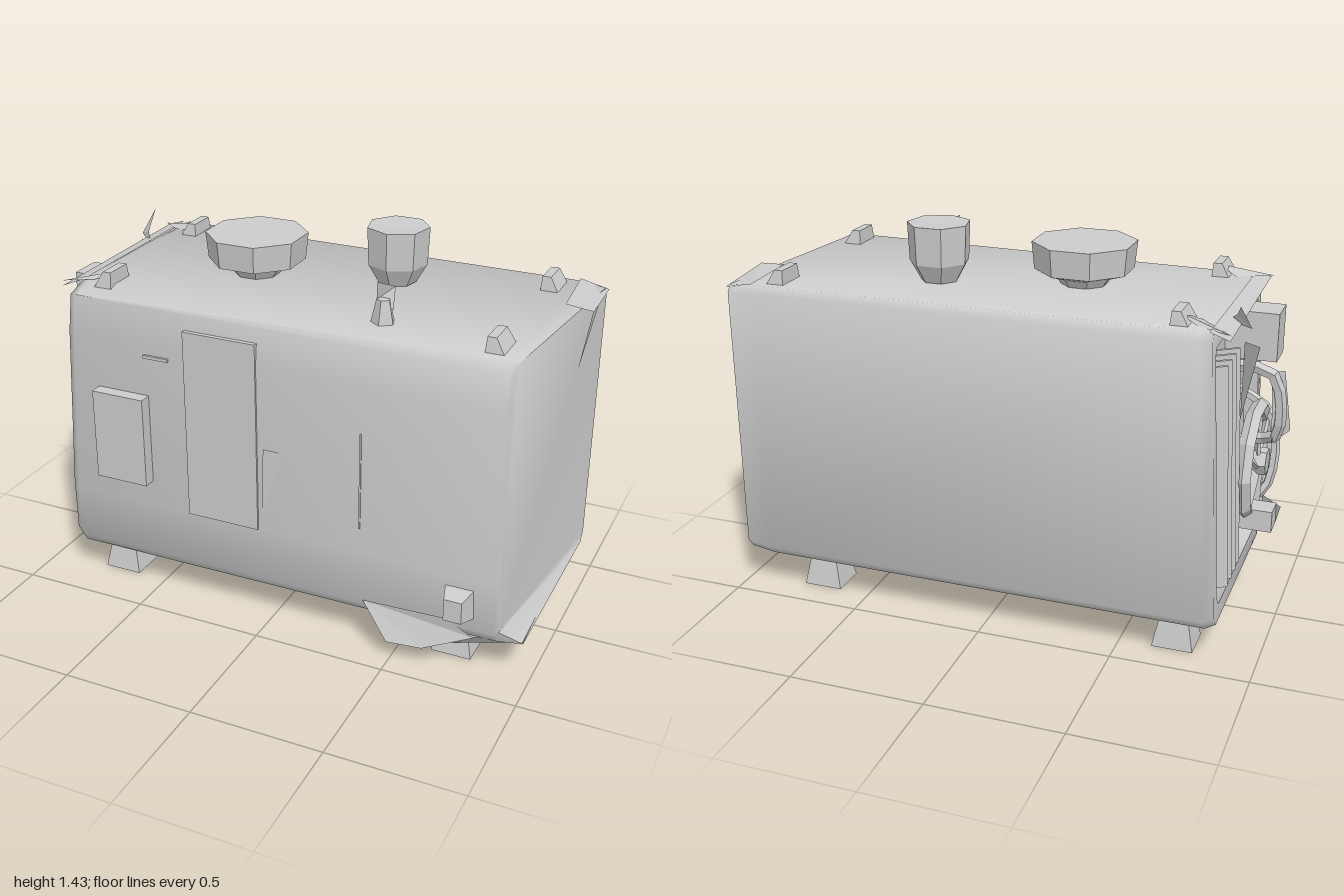
import * as THREE from 'three';
import { toCreasedNormals } from 'three/addons/utils/BufferGeometryUtils.js';

const grey = new THREE.MeshStandardMaterial({ color: 0xcccccc, flatShading: true });
const smooth = new THREE.MeshStandardMaterial({ color: 0xcccccc });
const thin = new THREE.MeshStandardMaterial({ color: 0xcccccc, flatShading: true, side: THREE.DoubleSide });

export function createModel() {
  const root = new THREE.Group();
  const add = (name, geo, x = 0, y = 0, z = 0, mat = grey) => {
    const m = new THREE.Mesh(geo, mat);
    m.name = name;
    m.position.set(x, y, z);
    root.add(m);
    return m;
  };
  const box = (name, x0, x1, y0, y1, z0, z1) =>
    add(name, new THREE.BoxGeometry(x1 - x0, y1 - y0, z1 - z0), (x0 + x1) / 2, (y0 + y1) / 2, (z0 + z1) / 2);
  const indexed = (pos, index) => {
    const g = new THREE.BufferGeometry();
    g.setAttribute('position', new THREE.Float32BufferAttribute(pos, 3));
    g.setIndex(index);
    g.computeVertexNormals();
    return g;
  };
  // thin folded sheet from a fan of corners
  const sheet = (name, pts) => {
    const index = [];
    for (let i = 1; i < pts.length - 1; i++) index.push(0, i, i + 1);
    return add(name, indexed(pts.flat(), index), 0, 0, 0, thin);
  };
  // box whose top is scaled and shifted
  const wedge = (w, h, d, sx, sz, dx = 0) => {
    const g = new THREE.BoxGeometry(w, h, d);
    const p = g.attributes.position;
    for (let i = 0; i < p.count; i++) {
      if (p.getY(i) > 0) p.setXYZ(i, p.getX(i) * sx + dx, p.getY(i), p.getZ(i) * sz);
    }
    g.computeVertexNormals();
    return g;
  };

  // cabinet: slightly bulged section lofted along x; left end leans and is recessed,
  // right end is slanted above a square base corner
  const section = [[0.36, 0.137], [0.388, 0.18], [0.406, 0.4], [0.406, 1.05], [0.39, 1.19], [0.33, 1.22],
    [-0.45, 1.222], [-0.468, 1.195], [-0.46, 0.175], [-0.43, 0.137]]; // z, y
  const stations = [[-0.8, 0.84, 0.87], [-0.855, 0.84, 0.87], [-0.855, 0.95, 0.98],
    [-0.82, 1, 1], [0.87, 1, 0.99], [0.97, 0.97, 0.975]]; // x, scale z, scale y
  const pos = [], idx = [], n = section.length, last = (stations.length - 1) * n;
  stations.forEach(([x, sz, sy], i) => {
    section.forEach(([z0, y0], j) => {
      const y = 0.68 + (y0 - 0.68) * sy;
      let px = x, z = -0.035 + (z0 + 0.035) * sz;
      if (j === 5) z += 0.04 * x; // roof slope narrows to the right
      if (i < 4) px += (0.055 * (y - 0.15)) / 1.07;
      if (i === 5 && j > 0 && j < n - 1) px -= (0.085 * (z + 0.45)) / 0.84;
      pos.push(px, y, z);
    });
  });
  for (let i = 0; i < stations.length - 1; i++) {
    for (let j = 0; j < n; j++) {
      const a = i * n + j, b = i * n + (j + 1) % n, c = a + n, d = b + n;
      idx.push(a, c, d, a, d, b);
    }
  }
  for (let j = 2; j < n; j++) {
    const k = (j + 1) % n;
    idx.push(1, j, k, last + 1, last + k, last + j);
  }
  add('cabinet', toCreasedNormals(indexed(pos, idx), 1.1), 0, 0, 0, smooth);

  // feet and lifting lugs
  for (const x of [-0.695, 0.695]) {
    for (const z of [0.24, -0.31]) add('foot', wedge(0.15, 0.15, 0.14, 0.6, 0.65), x, 0.075, z);
  }
  for (const x of [-0.685, 0.8]) {
    for (const z of [0.27, -0.355]) {
      add('liftingLug', wedge(0.07, 0.06, 0.13, 0.45, 0.85, x > 0 ? -0.015 : 0.015), x, 1.238, z);
    }
  }

  // roof fittings
  const lathe = (profile, sides) =>
    new THREE.LatheGeometry(profile.map(([r, y]) => new THREE.Vector2(r, y)), sides);
  add('airIntake', lathe([[0, 0], [0.085, 0], [0.105, 0.03], [0.18, 0.055], [0.19, 0.155], [0, 0.155]], 8),
    -0.24, 1.22, -0.03).rotation.y = Math.PI / 8;
  add('exhaustCup', lathe([[0, 0], [0.07, 0], [0.11, 0.07], [0.116, 0.21], [0, 0.205]], 7), 0.265, 1.22, -0.16);
  add('fillerNeck', new THREE.CylinderGeometry(0.025, 0.045, 0.09, 5), 0.37, 1.255, 0.23);
  sheet('fillerCap', [[0.34, 1.29, 0.22], [0.35, 1.36, 0.24], [0.4, 1.34, 0.2], [0.41, 1.27, 0.24]]);

  // front panel fittings
  box('controlBox', -0.68, -0.47, 0.5, 0.85, 0.39, 0.455);
  box('door', -0.315, -0.03, 0.4, 1.13, 0.39, 0.414);
  sheet('doorLatch', [[-0.015, 0.45, 0.406], [0.07, 0.73, 0.406], [0.005, 0.745, 0.43]]);
  box('panelSeam', 0.365, 0.371, 0.5, 0.87, 0.39, 0.41);
  box('hinge', -0.48, -0.38, 1.0, 1.012, 0.39, 0.415);
  add('drainValve', wedge(0.11, 0.08, 0.12, 0.6, 0.7), 0.745, 0.295, 0.43).rotation.x = Math.PI / 2;

  // bent sheet corners
  sheet('lowerFlap', [[0.38, 0.2, 0.395], [0.58, 0.09, 0.42], [0.49, 0.075, 0.435], [0.62, 0.075, 0.42],
    [0.8, 0.15, 0.385], [0.7, 0.21, 0.395]]);
  sheet('cornerSkirt', [[0.97, 0.155, 0.345], [0.8, 0.145, 0.37], [0.64, 0.03, 0.3], [0.76, 0.03, 0.22], [0.96, 0.155, 0.1]]);
  sheet('topCorner', [[0.87, 1.222, -0.46], [0.98, 1.2, -0.45], [0.995, 1.215, -0.165], [0.89, 1.222, -0.18]]);
  sheet('sideFlap', [[0.993, 1.215, -0.165], [0.955, 0.98, -0.165], [0.98, 1.2, -0.31]]);
  sheet('leftTopStrip', [[-0.86, 1.2, -0.455], [-0.79, 1.222, -0.45], [-0.79, 1.215, 0.3], [-0.845, 1.2, 0.355]]);
  for (const s of [1, -1]) {
    const at = (z) => s * z - 0.05;
    sheet('leftTopTab', [[-0.86, 1.21, at(0.38)], [-0.74, 1.222, at(0.35)], [-0.66, 1.255, at(0.31)], [-0.74, 1.222, at(0.27)]]);
  }

  // cooling fan in the left recess
  const fan = new THREE.Group();
  fan.name = 'coolingFan';
  fan.position.set(-0.87, 0.58, 0.07);
  const ring = new THREE.Mesh(new THREE.TorusGeometry(0.2, 0.03, 5, 10), grey);
  ring.name = 'fanRing';
  ring.rotation.y = Math.PI / 2;
  const hub = new THREE.Mesh(new THREE.CylinderGeometry(0.05, 0.06, 0.1, 6), grey);
  hub.name = 'fanHub';
  hub.rotation.z = Math.PI / 2;
  fan.add(ring, hub);
  for (let i = 0; i < 6; i++) {
    const arm = new THREE.Group();
    arm.rotation.x = (i * Math.PI) / 3;
    const blade = new THREE.Mesh(new THREE.BoxGeometry(0.012, 0.15, 0.08), grey);
    blade.name = 'fanBlade';
    blade.position.y = 0.11;
    blade.rotation.y = 0.6;
    arm.add(blade);
    fan.add(arm);
  }
  root.add(fan);

  // other left end fittings
  box('junctionBox', -0.94, -0.74, 0.99, 1.165, 0, 0.13);
  box('lowerBracket', -0.97, -0.78, 0.36, 0.44, -0.06, 0.03);
  for (let i = 0; i < 4; i++) {
    const louvre = add('louvre', new THREE.BoxGeometry(0.09, 0.82, 0.012), -0.815, 0.67, -0.36 + i * 0.065);
    louvre.rotation.set(0, 0.5, -0.05);
  }
  const pipe = (name, pts, r) => add(name, new THREE.TubeGeometry(
    new THREE.CatmullRomCurve3(pts.map((p) => new THREE.Vector3(...p))), 10, r, 5));
  pipe('coolantPipe', [[-0.76, 1.0, -0.1], [-0.94, 0.97, -0.07], [-0.965, 0.74, -0.05], [-0.9, 0.7, 0], [-0.79, 0.68, 0]], 0.022);
  pipe('drainPipe', [[-0.77, 0.8, 0.22], [-0.9, 0.72, 0.2], [-0.91, 0.45, 0.16], [-0.79, 0.33, 0.12]], 0.018);
  sheet('pipeClip', [[-0.98, 0.98, -0.05], [-1, 0.73, 0.03], [-0.95, 0.71, -0.06], [-0.94, 0.98, -0.08]]);
  sheet('bracketTip', [[-0.99, 0.44, 0], [-0.97, 0.36, 0.03], [-0.9, 0.35, 0.1], [-0.91, 0.44, 0.08]]);
  sheet('rearClip', [[-0.94, 1.16, -0.36], [-0.9, 1.0, -0.3], [-0.87, 0.86, -0.26], [-0.86, 1.12, -0.2]]);
  sheet('topClip', [[-0.9, 1.2, -0.3], [-0.87, 1.29, -0.36], [-0.84, 1.23, -0.25], [-0.8, 1.19, -0.2]]);
  return root;
}
